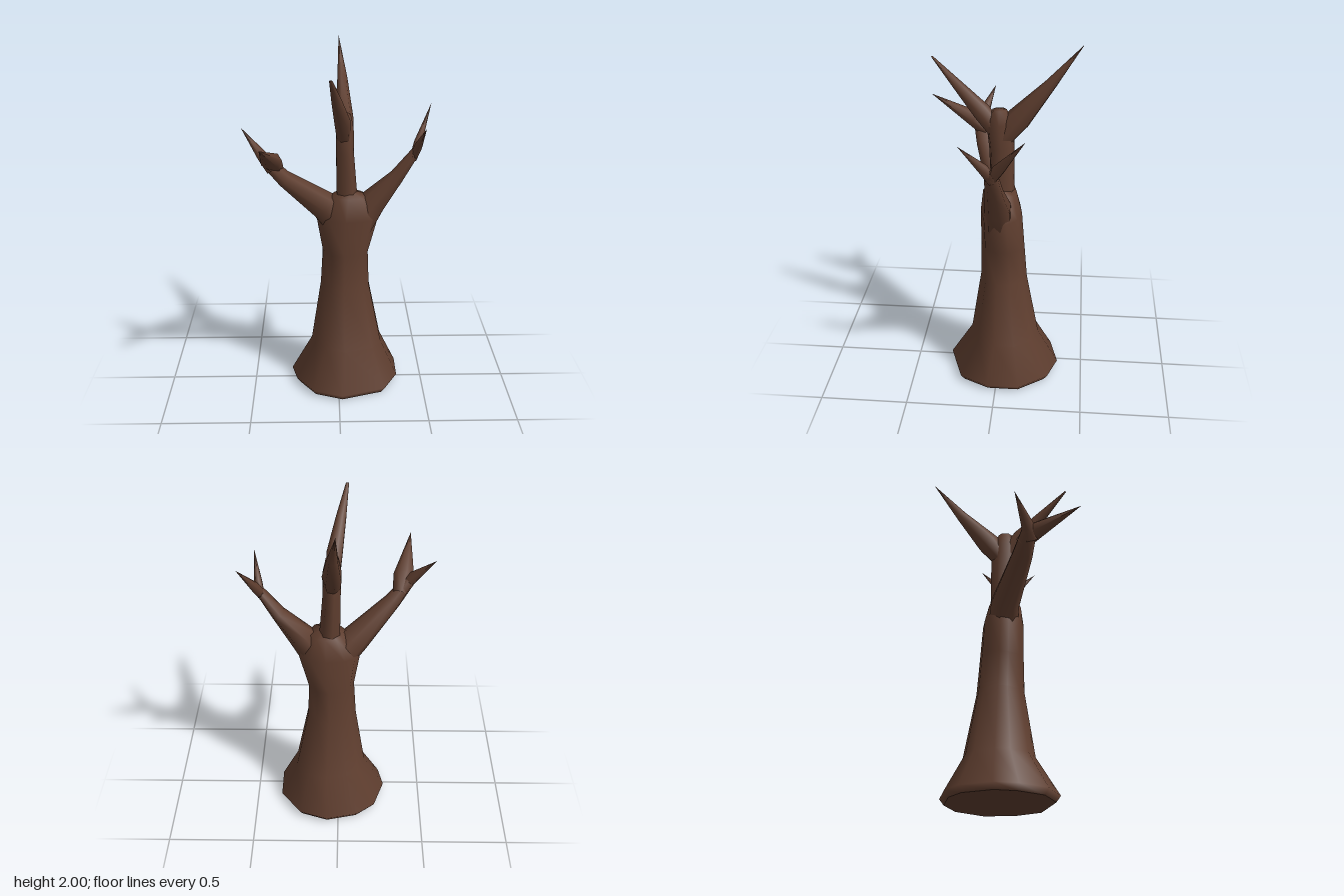
import * as THREE from 'three';

// Skin closed rings of points into a smooth tube (rings run counter-clockwise about their direction)
function skin(rings) {
  const n = rings[0].length, pos = [], index = [];
  for (const ring of rings) for (const p of ring) pos.push(p.x, p.y, p.z);
  for (let i = 0; i < rings.length - 1; i++) {
    for (let j = 0; j < n; j++) {
      const a = i * n + j, b = i * n + (j + 1) % n;
      index.push(a, b, a + n, b, b + n, a + n);
    }
  }
  const g = new THREE.BufferGeometry();
  g.setAttribute('position', new THREE.Float32BufferAttribute(pos, 3));
  g.setIndex(index);
  g.computeVertexNormals();
  return g;
}

// Tapering limb; each section is [x, y, z, half width along side, half thickness]
function limb(sections, side, sides = 7) {
  const centres = sections.map(s => new THREE.Vector3(s[0], s[1], s[2]));
  const rings = sections.map((s, i) => {
    const t = centres[Math.min(i + 1, centres.length - 1)].clone()
      .sub(centres[Math.max(i - 1, 0)]).normalize();
    const u = side.clone().addScaledVector(t, -side.dot(t)).normalize();
    const v = t.clone().cross(u);
    return Array.from({ length: sides }, (_, j) => {
      const a = j / sides * Math.PI * 2;
      return centres[i].clone().addScaledVector(u, Math.cos(a) * s[3])
        .addScaledVector(v, Math.sin(a) * s[4]);
    });
  });
  return skin(rings);
}

export function createModel() {
  const model = new THREE.Group();
  model.name = 'bareTree';
  const bark = new THREE.MeshStandardMaterial({ color: 0x5f3e2f });
  bark.name = 'brown bark';
  const add = (name, geometry) => {
    const mesh = new THREE.Mesh(geometry, bark);
    mesh.name = name;
    model.add(mesh);
  };

  // Uneven root outline [x, z], reused at every height of the trunk
  const outline = [[0.35, 0.05], [0.35, -0.14], [0.23, -0.30], [0.07, -0.355], [-0.12, -0.31],
    [-0.22, -0.23], [-0.28, -0.05], [-0.25, 0.08], [-0.15, 0.23], [0.02, 0.295], [0.27, 0.21]];
  const trunkRing = ([y, cx, cz, rx, rz]) => outline.map(([x, z]) => new THREE.Vector3(
    cx + (x - 0.035) / 0.315 * rx, y, cz + (z + 0.03) / 0.325 * rz));

  // Trunk sections: [y, centre x, centre z, half width, half depth]
  const foot = [0, 0.035, -0.03, 0.29, 0.3];
  add('trunk', skin([
    foot,
    [0.035, 0.035, -0.03, 0.315, 0.325],
    [0.25, 0.047, -0.035, 0.205, 0.2],
    [0.62, 0.038, -0.027, 0.14, 0.135],
    [0.83, 0.04, -0.02, 0.13, 0.125],
    [1.04, 0.05, -0.012, 0.175, 0.118],
    [1.17, 0.06, -0.005, 0.1, 0.095],
    [1.2, 0.06, -0.005, 0, 0],
  ].map(trunkRing)));
  add('trunkUnderside', skin([[0, 0.035, -0.03, 0, 0], foot].map(trunkRing)));

  const X = new THREE.Vector3(1, 0, 0), Z = new THREE.Vector3(0, 0, 1);

  // Upright middle branch with a fork to front and back
  add('middleBranch', limb([
    [0.055, 1.02, -0.02, 0.065, 0.08], [0.045, 1.2, -0.018, 0.06, 0.068],
    [0.035, 1.42, -0.012, 0.052, 0.072], [0.033, 1.56, 0, 0.052, 0.075],
    [0.033, 1.64, 0, 0.035, 0.04], [0.033, 1.642, 0, 0, 0]], X));
  add('middleFrontTwig', limb([
    [0.035, 1.47, -0.02, 0.04, 0.05], [0.02, 1.62, 0.1, 0.046, 0.052],
    [-0.012, 1.76, 0.235, 0.03, 0.028], [-0.045, 1.9, 0.37, 0.009, 0.004],
    [-0.045, 1.901, 0.371, 0, 0]], X));
  add('middleBackTwig', limb([
    [0.035, 1.45, 0, 0.045, 0.05], [0.033, 1.585, -0.1, 0.055, 0.07],
    [0.027, 1.785, -0.27, 0.03, 0.033], [0.01, 2, -0.44, 0, 0]], X));

  // Left branch and its two twigs
  add('leftBranch', limb([
    [0.1, 0.96, 0, 0.08, 0.09], [0.2, 1.13, -0.005, 0.075, 0.08],
    [0.333, 1.285, 0.002, 0.052, 0.042], [0.432, 1.43, 0.008, 0.036, 0.025],
    [0.445, 1.47, 0.008, 0, 0]], Z));
  add('leftBackTwig', limb([
    [0.415, 1.39, 0.02, 0.022, 0.03], [0.445, 1.47, -0.03, 0.024, 0.032],
    [0.53, 1.66, -0.17, 0, 0]], X));
  add('leftFrontTwig', limb([
    [0.42, 1.39, 0, 0.02, 0.03], [0.44, 1.47, 0.05, 0.022, 0.03],
    [0.468, 1.6, 0.175, 0, 0]], X));

  // Right branch and its two twigs
  add('rightBranch', limb([
    [0.02, 0.98, -0.02, 0.09, 0.09], [-0.09, 1.115, 0, 0.085, 0.085],
    [-0.305, 1.31, 0.105, 0.06, 0.045], [-0.39, 1.415, 0.145, 0.045, 0.035],
    [-0.42, 1.46, 0.14, 0, 0]], Z));
  add('rightFrontTwig', limb([
    [-0.34, 1.36, 0.1, 0.04, 0.04], [-0.365, 1.43, 0.18, 0.06, 0.048],
    [-0.41, 1.56, 0.44, 0, 0]], X));
  add('rightOuterTwig', limb([
    [-0.36, 1.37, 0.15, 0.045, 0.035], [-0.415, 1.445, 0.135, 0.036, 0.03],
    [-0.53, 1.585, 0.07, 0, 0]], Z));

  return model;
}
